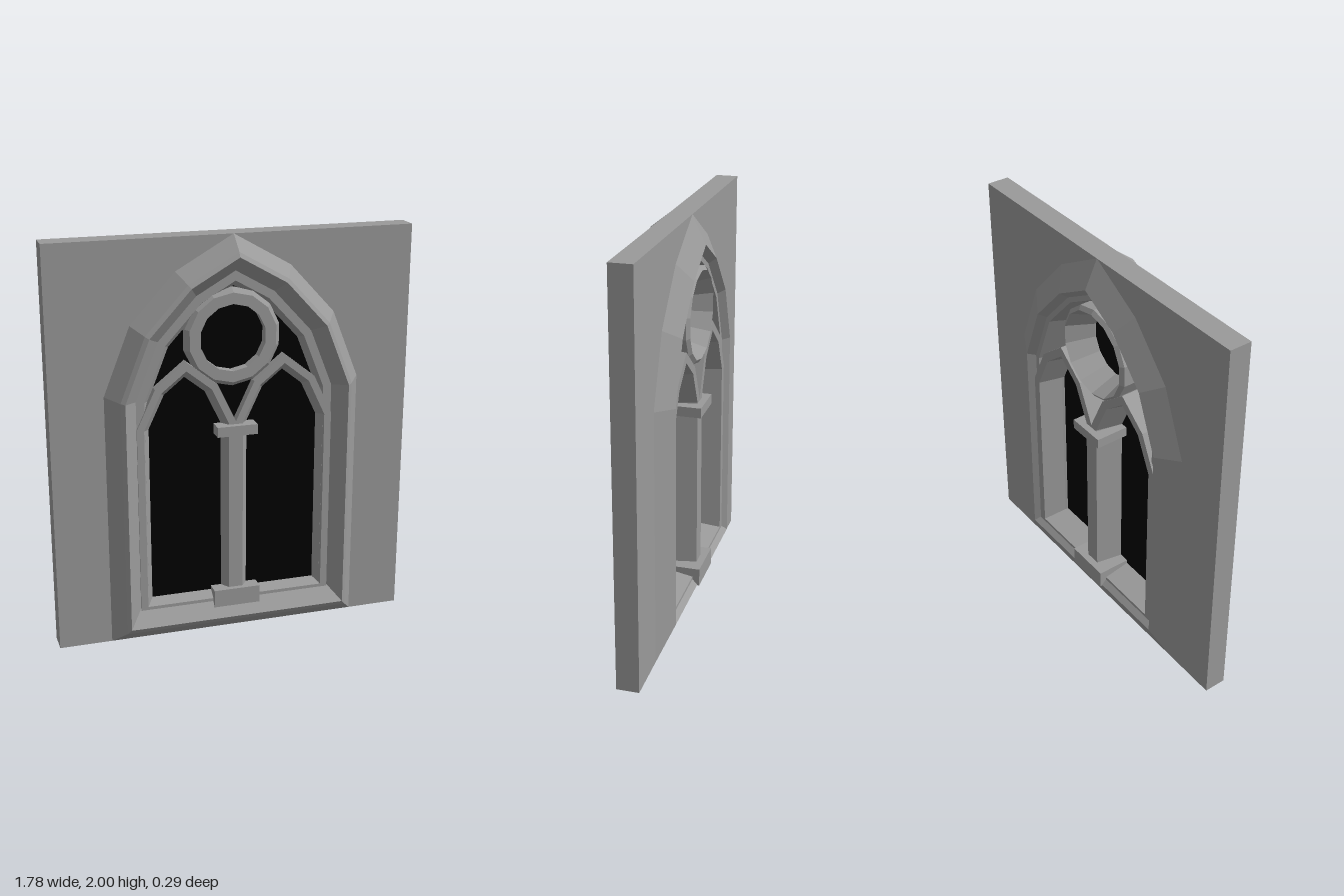
import * as THREE from 'three';

const stone = new THREE.MeshStandardMaterial({ color: 0x9a9a9a, flatShading: true });
const dark = new THREE.MeshStandardMaterial({ color: 0x000000, flatShading: true });

// Closed counter-clockwise pointed arch from its right half, listed sill to apex
function archOutline(half) {
  const left = half.slice(0, -1).reverse().map(([x, y]) => [-x, y]);
  return [...half, ...left];
}

// Mitred offset of a closed outline; positive d grows it
function offset(outline, d, sillScale = 1) {
  const n = outline.length;
  const minY = Math.min(...outline.map((p) => p[1]));
  return outline.map((p, i) => {
    const a = outline[(i + n - 1) % n], b = outline[(i + 1) % n];
    const n1 = new THREE.Vector2(p[1] - a[1], a[0] - p[0]).normalize();
    const n2 = new THREE.Vector2(b[1] - p[1], p[0] - b[0]).normalize();
    const k = d / (1 + n1.dot(n2));
    const dy = (n1.y + n2.y) * k;
    return [p[0] + (n1.x + n2.x) * k, p[1] + (p[1] === minY ? dy * sillScale : dy)];
  });
}

// Sweeps a closed profile of [offset, z] points around a closed outline.
// Profile runs inner front -> outer front -> outer back -> inner back.
function moulding(outline, profile, sillScale = 1) {
  const loops = profile.map(([d, z]) => offset(outline, d, sillScale).map(([x, y]) => [x, y, z]));
  const pos = [];
  loops.forEach((loop, j) => {
    const next = loops[(j + 1) % loops.length];
    loop.forEach((a, i) => {
      const k = (i + 1) % loop.length;
      pos.push(...a, ...next[i], ...next[k], ...a, ...next[k], ...loop[k]);
    });
  });
  const g = new THREE.BufferGeometry();
  g.setAttribute('position', new THREE.Float32BufferAttribute(pos, 3));
  g.computeVertexNormals();
  return g;
}

const toPoints = (pts) => pts.map(([x, y]) => new THREE.Vector2(x, y));

function slab(shape, z0, z1) {
  return new THREE.ExtrudeGeometry(shape, { depth: z1 - z0, bevelEnabled: false }).translate(0, 0, z0);
}

export function createModel() {
  const group = new THREE.Group();
  const add = (name, geometry, material = stone, x = 0) => {
    const mesh = new THREE.Mesh(geometry, material);
    mesh.name = name;
    mesh.position.x = x;
    group.add(mesh);
  };

  const arch = archOutline([[0.63, 0], [0.63, 1.27], [0.5, 1.6], [0.28, 1.84], [0, 2]]);

  // Wall panel with the window opening
  const wall = new THREE.Shape(toPoints([[-0.89, 0], [0.89, 0], [0.89, 2], [-0.89, 2]]));
  wall.holes.push(new THREE.Path(toPoints(offset(arch, -0.03)).reverse()));
  add('wall', slab(wall, -0.07, 0.04));

  // Chamfered outer frame with sill
  add('outerFrame', moulding(arch, [
    [-0.15, 0.065], [-0.08, 0.143], [-0.06, 0.128], [0, 0.04],
    [0, -0.07], [-0.12, -0.135], [-0.15, -0.1],
  ], 1.2));

  // Inner rim that holds the tracery
  add('innerRim', moulding(arch, [
    [-0.21, 0.038], [-0.185, 0.072], [-0.14, 0.072],
    [-0.14, -0.1], [-0.175, -0.1], [-0.21, 0.022],
  ]));

  // Thin dark pane inside the tracery
  add('glass', slab(new THREE.Shape(toPoints(offset(arch, -0.165))), 0.025, 0.035), dark);

  // Twin lancets; their inner edges meet to form the central column
  const lancet = archOutline([[0.178, 0.21], [0.178, 1.09], [0.1, 1.255], [0, 1.335]]);
  const bar = [[0, 0.038], [0.03, 0.08], [0.065, 0.08], [0.065, -0.11], [0.025, -0.11], [0, 0.022]];
  for (const [side, s] of [['left', 1], ['right', -1]]) {
    add(side + 'Lancet', moulding(lancet, bar), stone, s * 0.243);
  }

  // Round window above the lancets
  const circle = Array.from({ length: 14 }, (_, i) => {
    const a = ((i + 0.5) / 14) * Math.PI * 2;
    return [0.162 * Math.cos(a), 1.518 + 0.162 * Math.sin(a)];
  });
  add('roundWindow', moulding(circle, [
    [0, 0.038], [0, 0.085], [0.053, 0.085], [0.073, 0.065],
    [0.073, -0.1], [0.053, -0.115], [0, 0.022],
  ]), stone, -0.015);

  // Column capital and base block
  add('columnCapital', new THREE.BoxGeometry(0.2, 0.05, 0.253).translate(0, 1.065, -0.0165));
  add('columnBase', new THREE.BoxGeometry(0.235, 0.09, 0.25).translate(0, 0.185, -0.02));

  return group;
}
